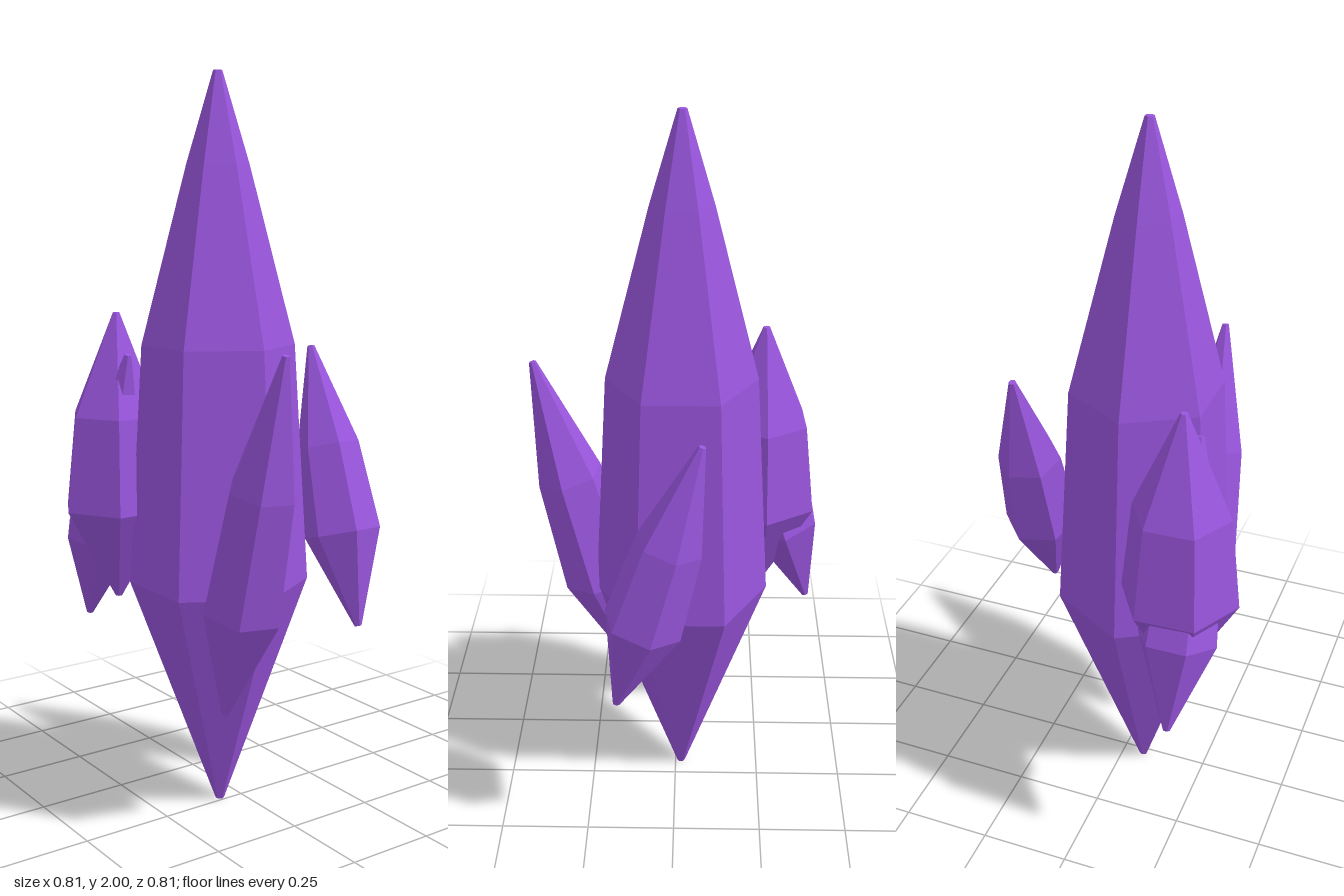
import * as THREE from 'three';

const UP = new THREE.Vector3(0, 1, 0);

// Six-sided crystal from base point to tip point.
// rings: [fraction along the axis, radius]; turn: angle of the first edge from +x towards +z.
function crystal(name, base, tip, rings, turn, endRadius, material) {
  const a = new THREE.Vector3(...base);
  const axis = new THREE.Vector3(...tip).sub(a);
  const length = axis.length();
  const profile = [[0, 0], [0, endRadius], ...rings, [1, endRadius], [1, 0]]
    .map(([t, r]) => new THREE.Vector2(r, t * length));
  const geometry = new THREE.LatheGeometry(profile, 6, Math.PI / 2 - THREE.MathUtils.degToRad(turn));
  const mesh = new THREE.Mesh(geometry, material);
  mesh.name = name;
  mesh.position.copy(a);
  mesh.quaternion.setFromUnitVectors(UP, axis.normalize());
  return mesh;
}

export function createModel() {
  const group = new THREE.Group();
  group.name = 'crystalCluster';
  const purple = new THREE.MeshStandardMaterial({ color: 0x9955dd, flatShading: true });

  group.add(
    // Tall central crystal
    crystal('mainCrystal', [-0.017, 0, 0.062], [-0.017, 2, 0.062],
      [[0.32, 0.245], [0.645, 0.206], [0.88, 0.084]], 0, 0.012, purple),
    // Upright crystal beside it
    crystal('uprightCrystal', [-0.256, 0.57, 0.243], [-0.249, 1.37, 0.241],
      [[0.325, 0.16], [0.65, 0.132]], 28, 0.01, purple),
    // Leaning crystal on the model's left
    crystal('leaningCrystal', [0.14, 0.32, 0.152], [0.393, 1.3, 0.148],
      [[0.31, 0.113], [0.645, 0.094]], 39, 0.01, purple),
    // Separate crystal at the back
    crystal('backCrystal', [0.155, 0.485, -0.297], [-0.073, 1.263, -0.298],
      [[0.33, 0.109], [0.64, 0.09]], 17, 0.01, purple),
    // Slanted crystal grown through the upright one
    crystal('embeddedCrystal', [-0.395, 0.49, 0.261], [-0.162, 1.262, 0.257],
      [[0.325, 0.108], [0.645, 0.088]], 30, 0.01, purple),
  );
  return group;
}
